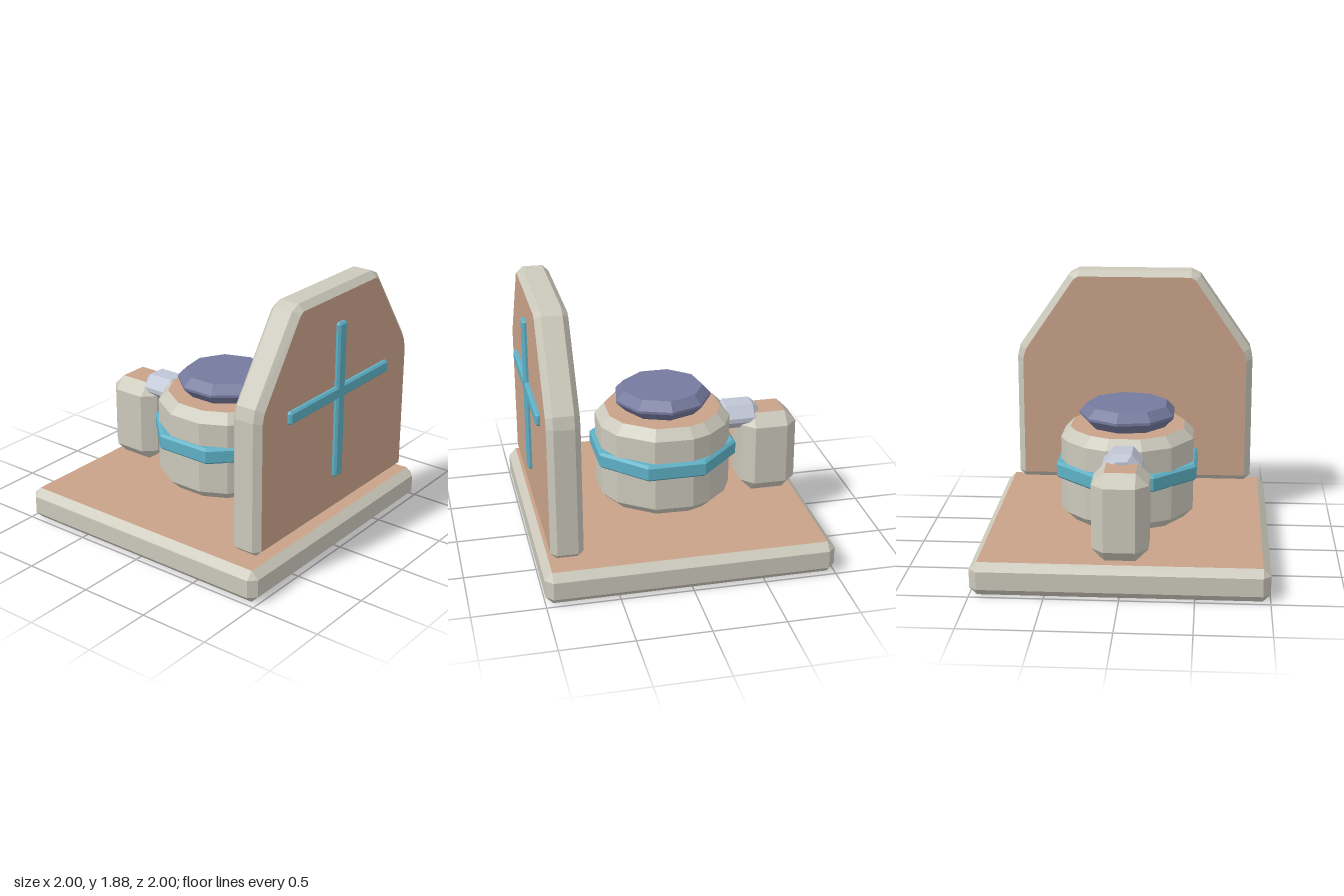
import * as THREE from 'three';
import { ConvexGeometry } from 'three/addons/geometries/ConvexGeometry.js';

const mat = (name, color) => {
  const m = new THREE.MeshStandardMaterial({ color });
  m.name = name;
  return m;
};

// Two-colour solid: faces square to the axis take the cap material
function hull(name, points, shell, cap, axis = 'y') {
  const geo = new ConvexGeometry(points);
  if (!cap) {
    const mesh = new THREE.Mesh(geo, shell);
    mesh.name = name;
    return mesh;
  }
  const pos = geo.attributes.position, nor = geo.attributes.normal;
  const sides = [], caps = [];
  for (let i = 0; i < pos.count; i += 3) {
    const n = new THREE.Vector3().fromBufferAttribute(nor, i);
    (Math.abs(n[axis]) > 0.99 ? caps : sides).push(i, i + 1, i + 2);
  }
  geo.setIndex([...sides, ...caps]);
  geo.clearGroups();
  geo.addGroup(0, sides.length, 0);
  geo.addGroup(sides.length, caps.length, 1);
  const mesh = new THREE.Mesh(geo, [shell, cap]);
  mesh.name = name;
  return mesh;
}

// Corner points of a box whose edges are all cut by b
function chamferPoints(x0, x1, y0, y1, z0, z1, b) {
  const pts = [];
  for (const [x, sx] of [[x0, 1], [x1, -1]])
    for (const [y, sy] of [[y0, 1], [y1, -1]])
      for (const [z, sz] of [[z0, 1], [z1, -1]]) {
        const bx = x + sx * b, by = y + sy * b, bz = z + sz * b;
        pts.push(new THREE.Vector3(x, by, bz), new THREE.Vector3(bx, y, bz), new THREE.Vector3(bx, by, z));
      }
  return pts;
}

// Stacked rings of points around y; each level is [y, radius]
function ringPoints(degrees, levels) {
  return levels.flatMap(([y, r]) => degrees.map((d) => {
    const a = THREE.MathUtils.degToRad(d);
    return new THREE.Vector3(r * Math.cos(a), y, r * Math.sin(a));
  }));
}

const regular = (n, start = 0) => Array.from({ length: n }, (_, i) => start + i * 360 / n);

// Right half of an outline, mirrored across x and placed at each depth
function mirroredPoints(half, depths) {
  return depths.flatMap((z) => half.flatMap(([x, y]) =>
    [new THREE.Vector3(x, y, z), new THREE.Vector3(-x, y, z)]));
}

export function createModel() {
  const cream = mat('cream edge', 0xcbc8bb);
  const clay = mat('clay face', 0xc9a28a);
  const teal = mat('teal trim', 0x5eb0c5);
  const violet = mat('violet lid', 0x757a9e);
  const silver = mat('silver connector', 0xbfc5d4);

  const model = new THREE.Group();
  model.name = 'model';

  // Base slab
  model.add(hull('base', chamferPoints(-1, 1, 0, 0.23, -1, 1, 0.052), cream, clay));

  // Upright front panel with cut shoulders
  const outer = [[0.84, 0.275], [0.885, 0.315], [0.885, 1.225], [0.865, 1.31], [0.49, 1.85], [0.42, 1.885]];
  const inner = [[0.84, 0.315], [0.84, 1.215], [0.82, 1.285], [0.455, 1.82], [0.42, 1.842]];
  model.add(hull('frontPanel',
    [...mirroredPoints(outer, [0.76, 0.9]), ...mirroredPoints(inner, [0.718, 0.942])], cream, clay, 'z'));

  // Raised cross on the panel
  const cross = new THREE.Group();
  cross.name = 'cross';
  cross.add(
    hull('crossUpright', chamferPoints(-0.045, 0.045, 0.543, 1.657, 0.92, 0.972, 0.014), teal),
    hull('crossArm', chamferPoints(-0.577, 0.577, 1.12, 1.21, 0.92, 0.972, 0.014), teal));
  model.add(cross);

  // Faceted drum with cut rims
  const drumAngles = [-55, -31.5, -14.6, 18, 53, 75, 106, 141, 165, 195, 228, 255, 285];
  model.add(hull('drum',
    ringPoints(drumAngles, [[0.275, 0.412], [0.342, 0.48], [0.86, 0.48], [0.93, 0.412]]), cream, clay));

  // Eight-sided band round the drum
  model.add(hull('drumBand',
    ringPoints(regular(8, 22.5), [[0.578, 0.51], [0.595, 0.53], [0.678, 0.53], [0.695, 0.51]]), teal));

  // Nine-sided lid
  model.add(hull('lid',
    ringPoints(regular(9), [[0.925, 0.27], [1.0, 0.345], [1.018, 0.345], [1.08, 0.287]]), violet));

  // Rear post
  model.add(hull('rearPost', chamferPoints(-0.19, 0.19, 0.235, 0.845, -0.962, -0.56, 0.085), cream, clay));

  // Connector between drum and post
  const section = [[0.065, 0.9], [0.135, 0.822], [0.135, 0.79], [0.07, 0.725]];
  const small = section.map(([x, y]) => [x * 0.55, 0.815 + (y - 0.815) * 0.55]);
  model.add(hull('connector',
    [...mirroredPoints(section, [-0.65, -0.455]), ...mirroredPoints(small, [-0.7, -0.41])], silver));

  return model;
}
